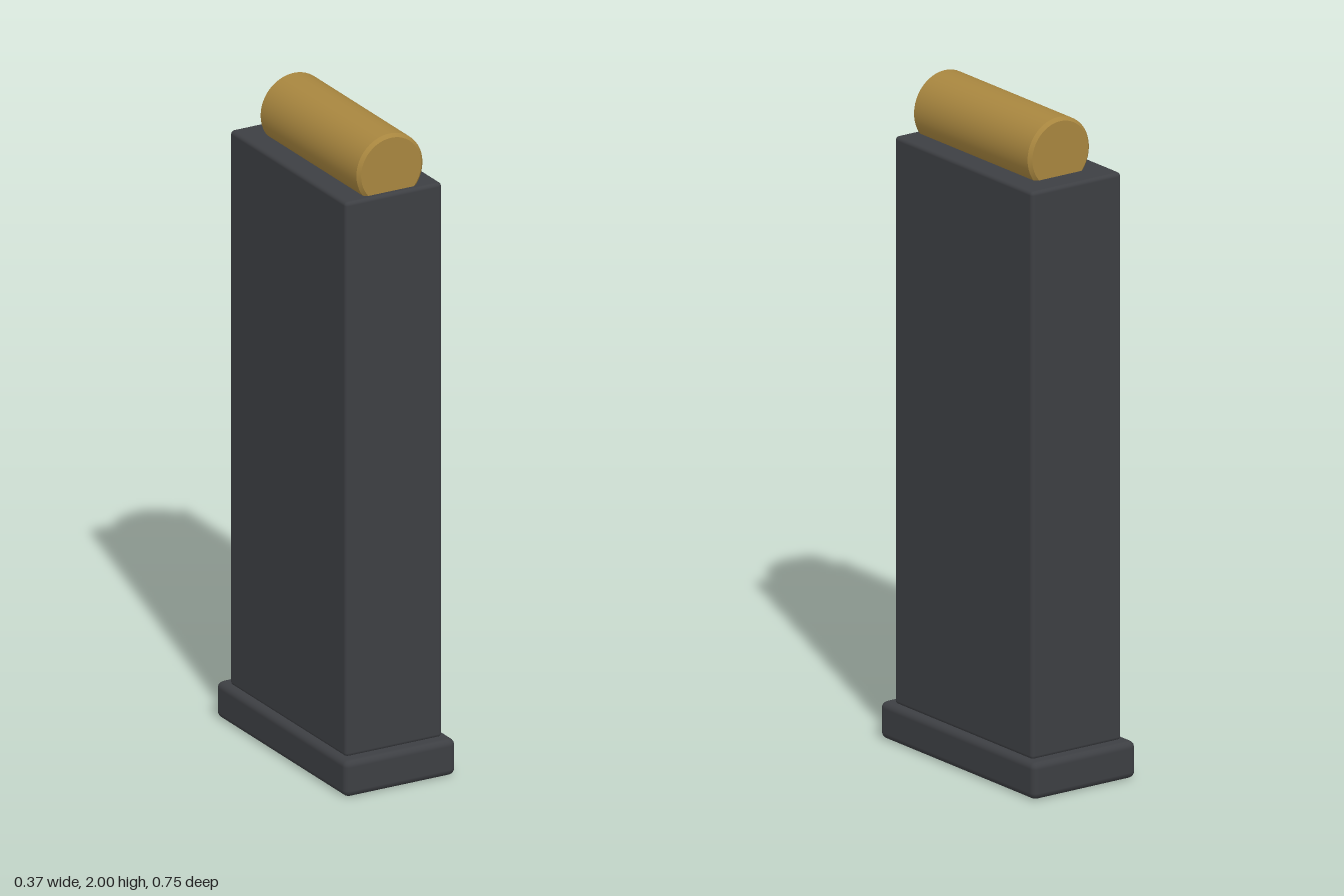
import * as THREE from 'three';
import { RoundedBoxGeometry } from 'three/addons/geometries/RoundedBoxGeometry.js';
import { toCreasedNormals } from 'three/addons/utils/BufferGeometryUtils.js';

const darkMetal = new THREE.MeshStandardMaterial({ color: 0x3d3f43 });
const brass = new THREE.MeshStandardMaterial({ color: 0xa8863f });

// Box with softened edges, spanning bottom..top
function softBox(name, width, depth, bottom, top, radius) {
  const geometry = new RoundedBoxGeometry(width, top - bottom, depth, 2, radius);
  const mesh = new THREE.Mesh(geometry, darkMetal);
  mesh.name = name;
  mesh.position.y = (bottom + top) / 2;
  return mesh;
}

// Cylinder along z with chamfered rims
function chamferedRod(name, radius, back, front, chamfer) {
  const profile = [
    [0, back],
    [radius - chamfer, back],
    [radius, back + chamfer],
    [radius, front - chamfer],
    [radius - chamfer, front],
    [0, front],
  ].map(([r, h]) => new THREE.Vector2(r, h));
  const geometry = toCreasedNormals(new THREE.LatheGeometry(profile, 48), 0.5);
  geometry.rotateX(Math.PI / 2);
  const mesh = new THREE.Mesh(geometry, brass);
  mesh.name = name;
  return mesh;
}

export function createModel() {
  const model = new THREE.Group();
  model.name = 'magazine';

  // Floor plate and tall box body
  model.add(softBox('basePlate', 0.37, 0.745, 0, 0.112, 0.02));
  model.add(softBox('body', 0.322, 0.664, 0.108, 1.825, 0.012));

  // Top round, partly sunk into the body
  const round = chamferedRod('topRound', 0.11, -0.252, 0.315, 0.01);
  round.position.y = 1.89;
  model.add(round);

  return model;
}
